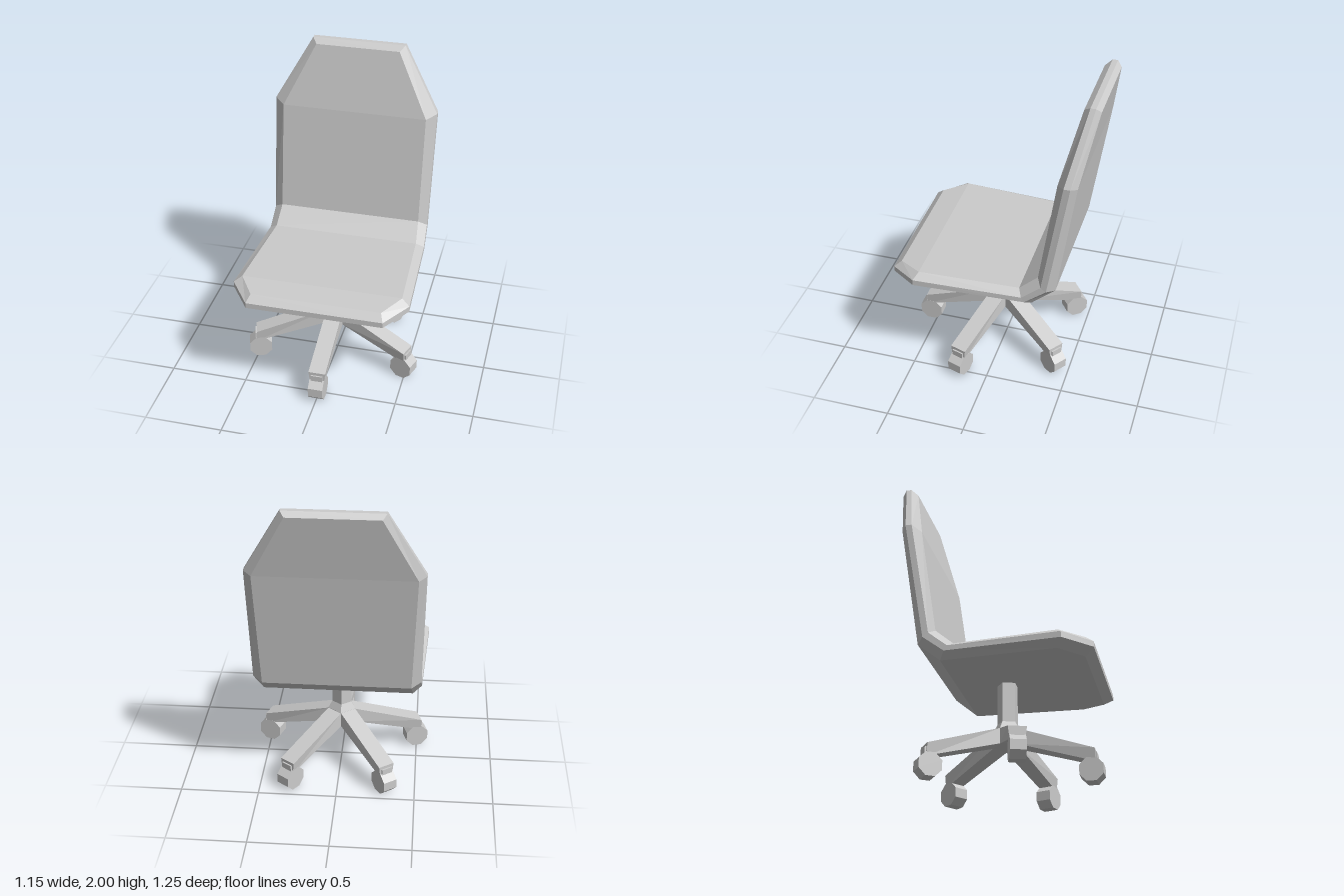
import * as THREE from 'three';

const grey = new THREE.MeshStandardMaterial({ color: 0xcccccc, flatShading: true });

function addMesh(parent, name, geometry) {
  const mesh = new THREE.Mesh(geometry, grey);
  mesh.name = name;
  parent.add(mesh);
  return mesh;
}

// Four stacked outlines, sitting side to rear side.
// Stations run from the seat's front edge to the top of the back: [half width, y, z].
const shellLayers = [
  [[0.41, 0.76, 0.58], [0.51, 0.78, 0.43], [0.475, 0.77, -0.21], [0.465, 0.87, -0.325], [0.47, 1.565, -0.43], [0.27, 1.97, -0.525]],
  [[0.43, 0.72, 0.627], [0.56, 0.745, 0.455], [0.525, 0.737, -0.235], [0.52, 0.835, -0.355], [0.533, 1.59, -0.48], [0.3, 2, -0.565]],
  [[0.43, 0.685, 0.627], [0.56, 0.707, 0.455], [0.525, 0.705, -0.255], [0.52, 0.81, -0.39], [0.533, 1.59, -0.52], [0.3, 2, -0.598]],
  [[0.39, 0.645, 0.57], [0.5, 0.667, 0.42], [0.47, 0.667, -0.29], [0.46, 0.788, -0.435], [0.485, 1.57, -0.553], [0.275, 1.97, -0.627]],
];

function shellGeometry(layers) {
  const positions = [];
  const quad = (a, b, c, d) => [a, b, c, a, c, d].forEach((p) => positions.push(...p));
  const loops = layers.map((stations) => [
    ...stations,
    ...stations.map(([x, y, z]) => [-x, y, z]).reverse(),
  ]);
  const n = loops[0].length;
  const top = loops[0];
  const bottom = loops[loops.length - 1];

  // Sitting face and rear face, strip by strip
  for (let i = 0; i < n / 2 - 1; i++) {
    const j = n - 1 - i;
    quad(top[j], top[i], top[i + 1], top[j - 1]);
    quad(bottom[i], bottom[j], bottom[j - 1], bottom[i + 1]);
  }
  // Bevelled rim
  for (let k = 0; k < loops.length - 1; k++) {
    for (let i = 0; i < n; i++) {
      const next = (i + 1) % n;
      quad(loops[k][i], loops[k + 1][i], loops[k + 1][next], loops[k][next]);
    }
  }
  const geometry = new THREE.BufferGeometry();
  geometry.setAttribute('position', new THREE.Float32BufferAttribute(positions, 3));
  geometry.computeVertexNormals();
  return geometry;
}

// Sloping leg along +z, slightly narrower underneath at its tip
function legGeometry() {
  const geometry = new THREE.BoxGeometry(1, 1, 1);
  const p = geometry.attributes.position;
  for (let i = 0; i < p.count; i++) {
    const outer = p.getZ(i) > 0;
    const upper = p.getY(i) > 0;
    const halfWidth = outer && !upper ? 0.045 : 0.055;
    const y = outer ? (upper ? 0.2 : 0.12) : (upper ? 0.36 : 0.26);
    p.setXYZ(i, Math.sign(p.getX(i)) * halfWidth, y, outer ? 0.54 : 0.07);
  }
  geometry.computeVertexNormals();
  return geometry;
}

export function createModel() {
  const chair = new THREE.Group();
  chair.name = 'officeChair';

  addMesh(chair, 'seatAndBack', shellGeometry(shellLayers));

  const base = new THREE.Group();
  base.name = 'base';
  base.position.z = 0.02;
  chair.add(base);

  // Five-sided post flaring into the hub, a flat side facing each leg
  const profile = [[0, 0.26], [0.094, 0.26], [0.094, 0.36], [0.067, 0.41], [0.067, 0.69]];
  const post = new THREE.LatheGeometry(profile.map(([r, y]) => new THREE.Vector2(r, y)), 5);
  addMesh(base, 'post', post.rotateY(Math.PI / 5));

  // Wheel: eight-sided, resting on a flat
  const wheel = new THREE.CylinderGeometry(0.079, 0.079, 0.095, 8)
    .rotateY(Math.PI / 8)
    .rotateZ(Math.PI / 2)
    .translate(0, 0.073, 0.515);
  const bracket = new THREE.BoxGeometry(0.075, 0.09, 0.07).translate(0, 0.135, 0.515);
  const leg = legGeometry();

  for (let i = 0; i < 5; i++) {
    const arm = new THREE.Group();
    arm.name = 'arm' + (i + 1);
    arm.rotation.y = (i * Math.PI * 2) / 5;
    addMesh(arm, 'leg', leg);
    addMesh(arm, 'casterBracket', bracket);
    addMesh(arm, 'casterWheel', wheel);
    base.add(arm);
  }
  return chair;
}
